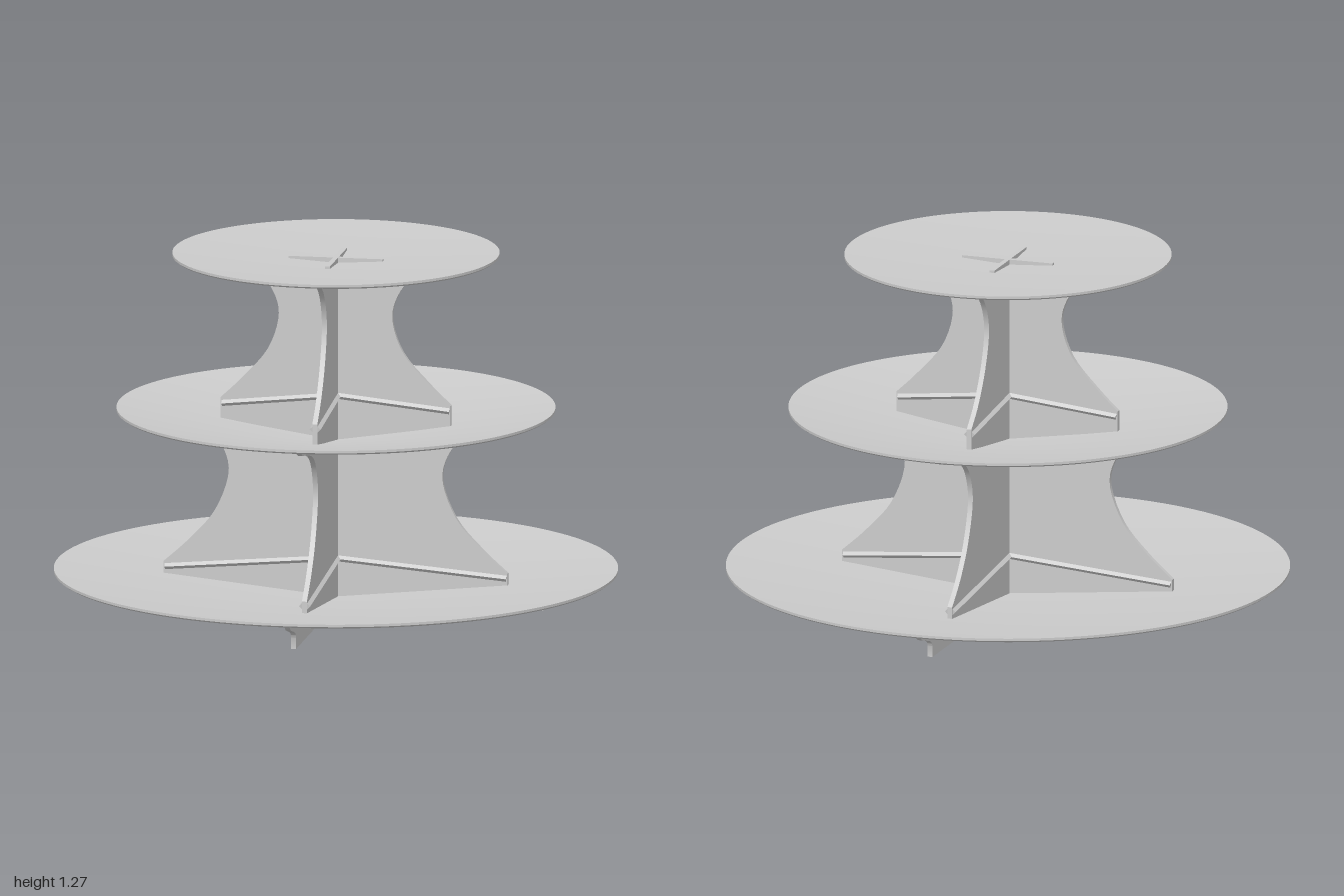
import * as THREE from 'three';
import { toCreasedNormals } from 'three/addons/utils/BufferGeometryUtils.js';

const material = new THREE.MeshStandardMaterial({ color: 0xcccccc });
const ribMaterial = new THREE.MeshStandardMaterial({ color: 0xcccccc, flatShading: true });
const FIN = 0.018; // fin thickness
const RIM = 0.015; // plate thickness

// Shallow dish: underside centre at yLow, rim top at yRim
function plate(name, radius, yLow, yRim) {
  const profile = [
    [0, yLow], [radius - 0.008, yRim - RIM], [radius, yRim - RIM * 0.6],
    [radius, yRim], [0, yLow + RIM],
  ].map(([x, y]) => new THREE.Vector2(x, y));
  const geometry = toCreasedNormals(new THREE.LatheGeometry(profile, 128), 0.5);
  const mesh = new THREE.Mesh(geometry, material);
  mesh.name = name;
  return mesh;
}

// Upright panel: symmetric outline from bottom centre, along the curved side, to top centre
function fin(name, yBottom, foot, side, yTop, alongZ) {
  const curve = new THREE.SplineCurve(side.map(([x, y]) => new THREE.Vector2(x, y)));
  const half = [
    new THREE.Vector2(0, yBottom),
    ...foot.map(([x, y]) => new THREE.Vector2(x, y)),
    ...curve.getPoints(36),
    new THREE.Vector2(0, yTop),
  ];
  const mirrored = half.slice(1, -1).reverse().map((p) => new THREE.Vector2(-p.x, p.y));
  const shape = new THREE.Shape([...half, ...mirrored]);
  const geometry = new THREE.ExtrudeGeometry(shape, { depth: FIN, bevelEnabled: false });
  geometry.translate(0, 0, -FIN / 2);
  const mesh = new THREE.Mesh(toCreasedNormals(geometry, 0.5), material);
  mesh.name = name;
  if (alongZ) mesh.rotation.y = Math.PI / 2;
  return mesh;
}

// Four sloping ribs running from the crossing of the fins down to their feet
function ribs(name, yCentre, reach, yFoot) {
  const group = new THREE.Group();
  group.name = name;
  const drop = yFoot - yCentre;
  for (let i = 0; i < 4; i++) {
    const arm = new THREE.Group();
    const bar = new THREE.Mesh(
      new THREE.CylinderGeometry(0.02, 0.02, Math.hypot(reach, drop), 4), ribMaterial);
    bar.name = 'rib';
    bar.position.set(reach / 2, (yCentre + yFoot) / 2, 0);
    bar.rotation.z = Math.atan2(drop, reach) - Math.PI / 2;
    arm.rotation.y = i * Math.PI / 2;
    arm.add(bar);
    group.add(arm);
  }
  return group;
}

export function createModel() {
  const model = new THREE.Group();
  model.name = 'tieredStand';

  model.add(
    plate('bottomPlate', 1.0, 0.008, 0.125),
    plate('middlePlate', 0.778, 0.575, 0.708),
    plate('topPlate', 0.58, 1.215, 1.267),
  );

  for (const alongZ of [false, true]) {
    const axis = alongZ ? 'Long' : 'Short';
    // Base feet under the bottom plate
    const f = alongZ ? 0.83 : 0.75;
    model.add(fin('base' + axis + 'Fin', 0, [[f, 0]],
      [[f, 0.04], [f + 0.012, 0.058], [f + 0.05, 0.072], [(f + 0.99) / 2 + 0.03, 0.09], [0.965, 0.113]],
      0.015, alongZ));

    // Lower support, waisted between the bottom and middle plates
    const w = alongZ ? 0.4 : 0.385;
    model.add(fin('lower' + axis + 'Fin', 0.015, [[0.62, 0.085]],
      [[0.62, 0.128], [0.53, 0.21], [w + 0.05, 0.32], [w, 0.46], [w + 0.03, 0.565],
        [w + 0.1, 0.625], [0.62, 0.658], [0.7, 0.672], [0.745, 0.696]],
      0.585, alongZ));

    // Upper support, waisted between the middle and top plates
    const n = alongZ ? 0.228 : 0.205;
    model.add(fin('upper' + axis + 'Fin', 0.585, [[0.415, 0.655]],
      [[0.415, 0.728], [0.34, 0.8], [n + 0.04, 0.91], [n, 1.03], [n + 0.02, 1.12],
        [n + 0.08, 1.19], [0.4, 1.228], [0.5, 1.24], [0.55, 1.253]],
      1.225, alongZ));

    // Tab rising through the centre of the top plate
    const tab = new THREE.Mesh(new THREE.BoxGeometry(0.34, 0.035, FIN), material);
    tab.name = 'top' + axis + 'Tab';
    tab.position.y = 1.2315;
    if (alongZ) tab.rotation.y = Math.PI / 2;
    model.add(tab);
  }

  model.add(
    ribs('lowerRibs', 0.162, 0.615, 0.11),
    ribs('upperRibs', 0.75, 0.41, 0.708),
  );
  return model;
}
